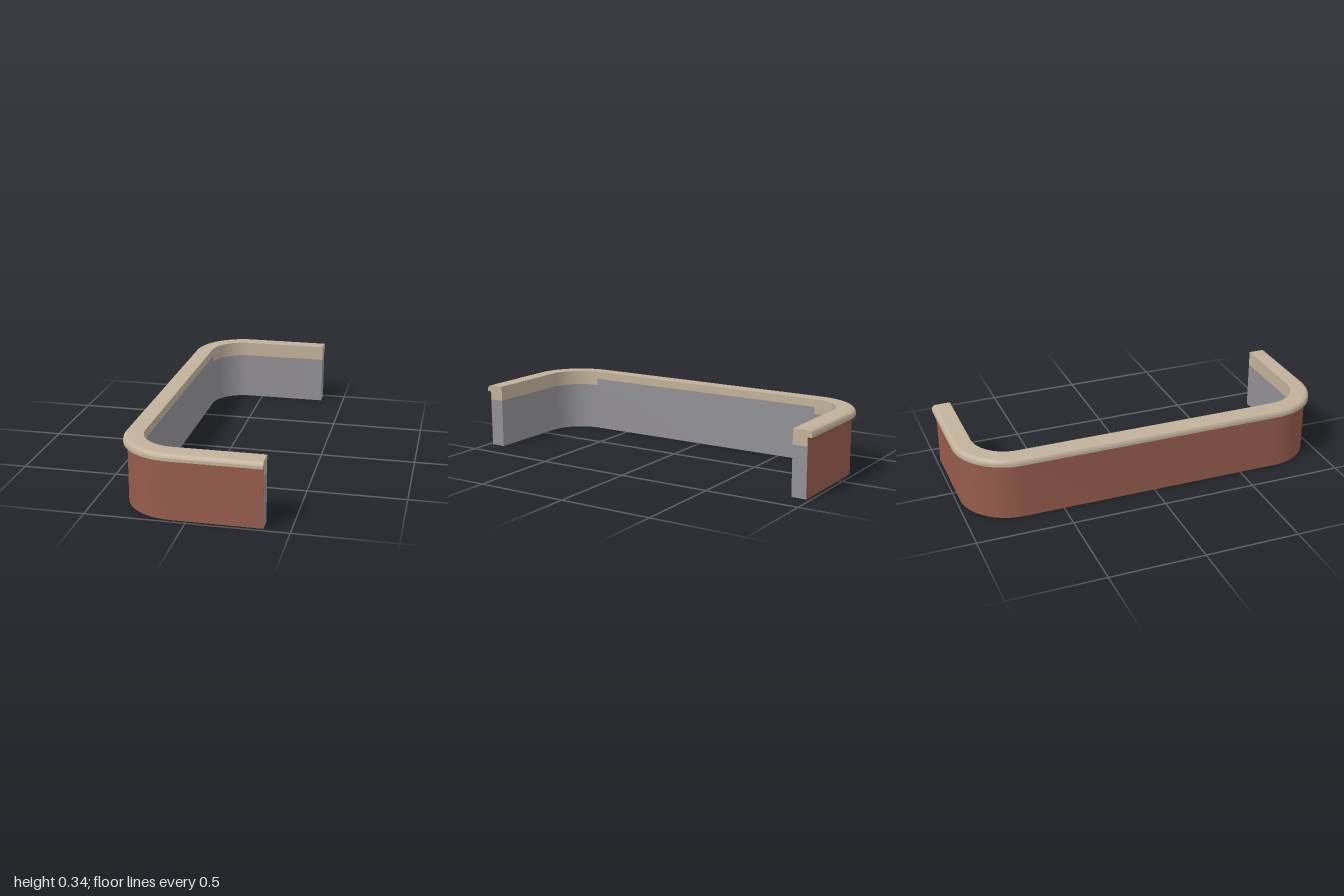
import * as THREE from 'three';
import { toCreasedNormals } from 'three/addons/utils/BufferGeometryUtils.js';

const STEPS = 16; // segments per rounded corner

// Inner wall line in plan, with the outward direction at each point
function wallPath() {
  const path = [{ x: 0.37, z: 0.9, nx: 0, nz: 1 }];
  for (const [cz, start] of [[0.71, Math.PI / 2], [-0.71, Math.PI]]) {
    for (let i = 0; i <= STEPS; i++) {
      const a = start + (i / STEPS) * Math.PI / 2;
      const nx = Math.cos(a), nz = Math.sin(a);
      path.push({ x: -0.08 + 0.19 * nx, z: cz + 0.19 * nz, nx, nz });
    }
  }
  path.push({ x: 0.37, z: -0.9, nx: 0, nz: -1 });
  return path;
}

// Sweeps a counter-clockwise profile of [outward offset, height] along a path, with end caps
function sweep(name, profile, path, material) {
  const n = profile.length;
  const positions = [];
  for (const p of path) {
    for (const [d, y] of profile) positions.push(p.x + p.nx * d, y, p.z + p.nz * d);
  }
  const index = [];
  for (let i = 0; i < path.length - 1; i++) {
    for (let j = 0; j < n; j++) {
      const k = (j + 1) % n;
      const a = i * n + j, b = i * n + k, c = b + n, d = a + n;
      index.push(a, b, c, a, c, d);
    }
  }
  const last = (path.length - 1) * n;
  const contour = profile.map(([d, y]) => new THREE.Vector2(d, y));
  for (const [a, b, c] of THREE.ShapeUtils.triangulateShape(contour, [])) {
    index.push(a, c, b, last + a, last + b, last + c);
  }
  const geometry = new THREE.BufferGeometry();
  geometry.setAttribute('position', new THREE.Float32BufferAttribute(positions, 3));
  geometry.setIndex(index);
  const mesh = new THREE.Mesh(toCreasedNormals(geometry, 0.6), material);
  mesh.name = name;
  return mesh;
}

const rect = (d0, d1, y0, y1) => [[d0, y0], [d1, y0], [d1, y1], [d0, y1]];

export function createModel() {
  const stone = new THREE.MeshStandardMaterial({ color: 0xc0b19b });
  stone.name = 'beigeStone';
  const brick = new THREE.MeshStandardMaterial({ color: 0x965c4c });
  brick.name = 'redBrick';
  const concrete = new THREE.MeshStandardMaterial({ color: 0x929095 });
  concrete.name = 'greyConcrete';

  const path = wallPath();
  const group = new THREE.Group();
  group.name = 'curvedWall';

  // Concrete core and thin brick facing on the outside
  group.add(sweep('wallCore', rect(0, 0.078, 0, 0.26), path, concrete));
  group.add(sweep('brickFacing', rect(0.078, 0.08, 0, 0.305), path, brick));

  // Concrete rises higher on the long straight side
  const straight = path.slice(STEPS + 1, STEPS + 3);
  group.add(sweep('upperInnerFace', rect(-0.001, 0.001, 0.26, 0.298), straight, concrete));

  // Coping with an overhanging, rounded outer nose
  const coping = [[0, 0.26], [0.078, 0.26], [0.078, 0.305], [0.1, 0.305], [0.1, 0.318]];
  for (let i = 1; i <= 6; i++) {
    const a = (i / 6) * Math.PI / 2;
    coping.push([0.076 + 0.024 * Math.cos(a), 0.318 + 0.022 * Math.sin(a)]);
  }
  coping.push([0, 0.34]);
  group.add(sweep('coping', coping, path, stone));

  return group;
}
